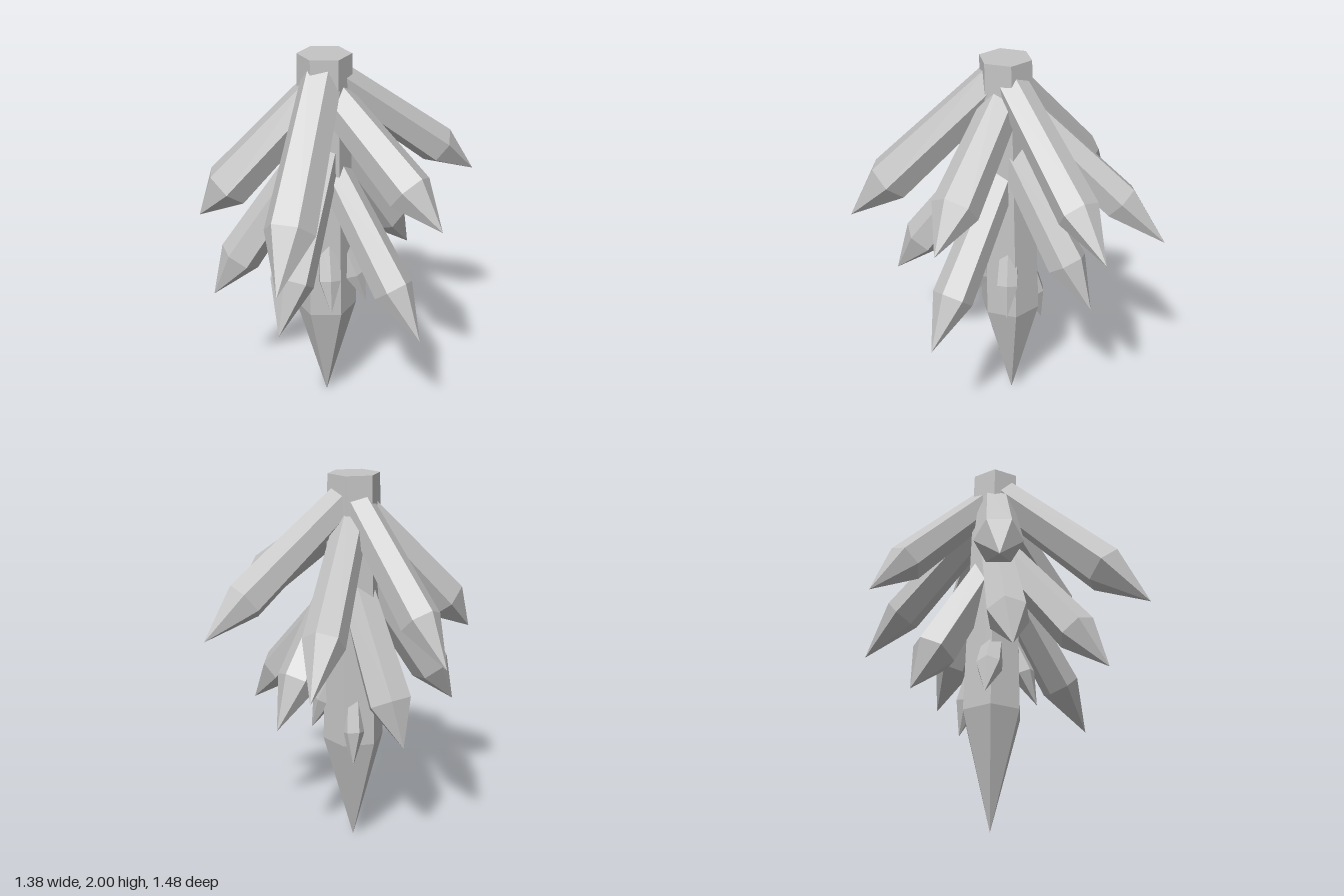
import * as THREE from 'three';

const stone = new THREE.MeshStandardMaterial({ color: 0xc4c4c4 });
stone.name = 'grey stone';
stone.flatShading = true;

// Six-sided profile turned around y: flat base, widening shaft, pointed end
function hexLathe(profile, phase) {
  const points = profile.map(([r, y]) => new THREE.Vector2(r, y));
  return new THREE.LatheGeometry(points, 6, phase);
}

// Crystal running from base to tip; roll 0 puts an edge on top, 30 a face
function crystal(name, base, tip, radius, point, roll = 0) {
  const start = new THREE.Vector3(...base);
  const axis = new THREE.Vector3(...tip).sub(start);
  const length = axis.length();
  axis.normalize();
  const up = new THREE.Vector3(0, 1, 0).addScaledVector(axis, -axis.y).normalize();
  const side = new THREE.Vector3().crossVectors(axis, up);
  const geometry = hexLathe(
    [[0, 0], [radius * 0.8, 0], [radius, length - point], [0, length]],
    THREE.MathUtils.degToRad(roll)
  );
  geometry.applyMatrix4(new THREE.Matrix4().makeBasis(side, axis, up).setPosition(start));
  const mesh = new THREE.Mesh(geometry, stone);
  mesh.name = name;
  return mesh;
}

export function createModel() {
  const model = new THREE.Group();
  model.name = 'hangingCrystalCluster';

  // Central shaft, leaning slightly
  const coreGeometry = hexLathe(
    [[0, 0], [0.163, 0.6], [0.133, 2], [0, 2]],
    THREE.MathUtils.degToRad(16)
  );
  const p = coreGeometry.attributes.position;
  for (let i = 0; i < p.count; i++) {
    const t = p.getY(i) / 2;
    p.setX(i, p.getX(i) - 0.04 + 0.018 * t);
    p.setZ(i, p.getZ(i) + 0.015 + 0.025 * t);
  }
  const core = new THREE.Mesh(coreGeometry, stone);
  core.name = 'coreCrystal';
  model.add(core);

  // Each branch: base, tip, shoulder radius, point length, roll
  const tiers = {
    upperCrystal: [
      [[-0.02, 1.92, 0.05], [0.4, 1.12, 0.74], 0.125, 0.31, 30],
      [[0, 1.81, 0.03], [0.69, 1.27, -0.05], 0.118, 0.25, 5],
      [[-0.01, 1.9, 0.02], [0.31, 1.27, -0.74], 0.105, 0.28, 10],
      [[-0.03, 1.8, 0.02], [-0.31, 1.09, -0.74], 0.105, 0.32, 10],
      [[-0.02, 1.9, 0.02], [-0.69, 1.16, -0.17], 0.105, 0.27, 0],
      [[-0.02, 1.85, 0.04], [-0.44, 1.16, 0.53], 0.125, 0.22, 30],
    ],
    middleCrystal: [
      [[-0.02, 1.46, 0.03], [0.65, 0.67, 0.03], 0.105, 0.29, 0],
      [[0, 1.55, 0.05], [0.23, 0.76, 0.59], 0.11, 0.27, 0],
      [[-0.03, 1.57, 0.05], [-0.36, 0.72, 0.53], 0.11, 0.26, 15],
      [[-0.04, 1.45, 0.02], [-0.44, 0.68, -0.13], 0.12, 0.24, 30],
      [[0, 1.54, 0], [0.05, 0.8, -0.53], 0.105, 0.27, 0],
    ],
    lowerCrystal: [
      [[-0.06, 1.01, 0.07], [-0.24, 0.62, 0.2], 0.068, 0.2, 0],
      [[0.03, 1.03, 0.07], [0.15, 0.66, 0.16], 0.062, 0.18, 0],
      [[0.04, 0.98, -0.02], [0.16, 0.64, -0.09], 0.062, 0.18, 0],
      [[-0.07, 0.9, -0.04], [-0.13, 0.5, -0.12], 0.062, 0.18, 30],
    ],
  };
  for (const [name, branches] of Object.entries(tiers)) {
    branches.forEach((b, i) => model.add(crystal(name + (i + 1), ...b)));
  }
  return model;
}
